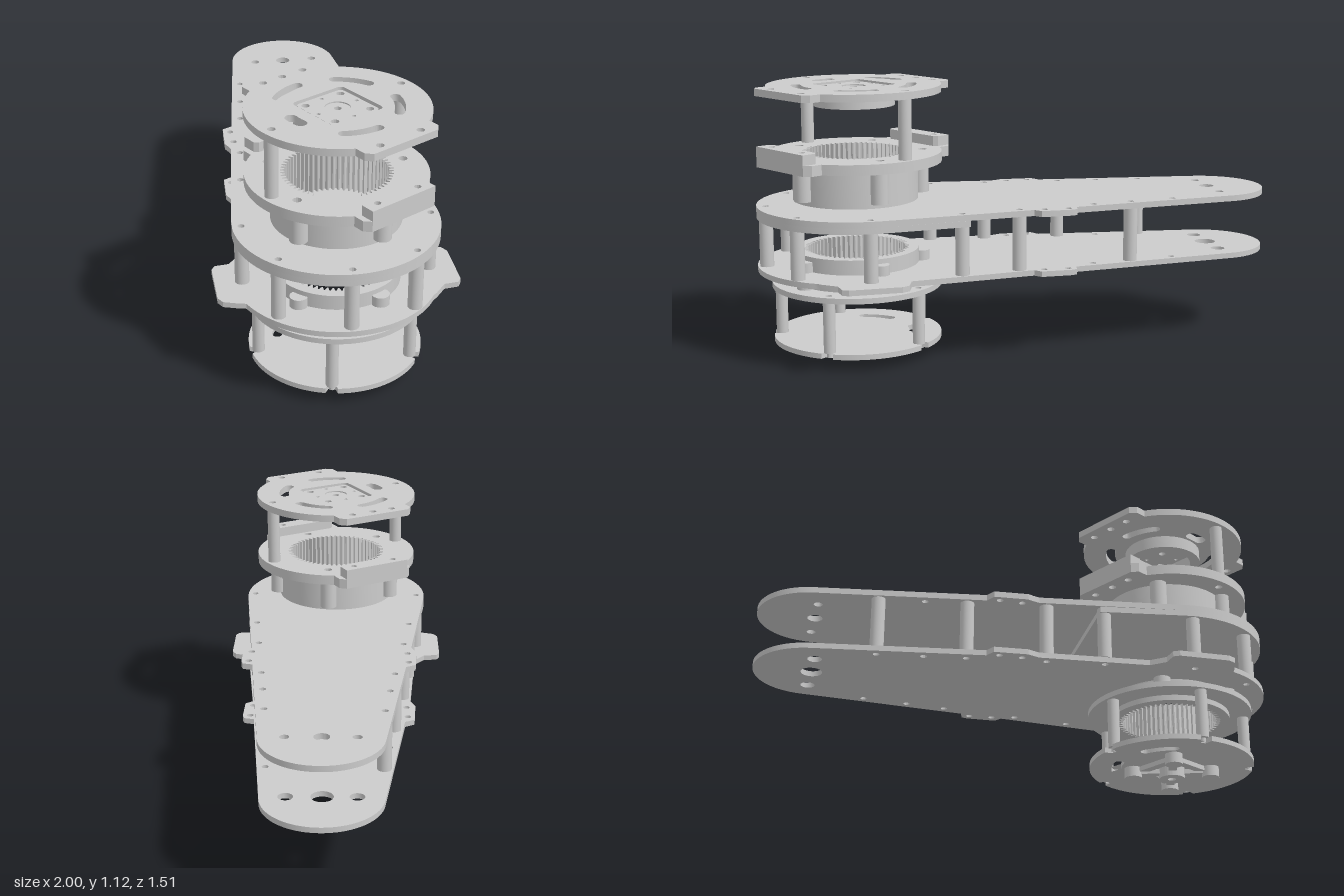
import * as THREE from 'three';
import { toCreasedNormals } from 'three/addons/utils/BufferGeometryUtils.js';

const CX = 0.583, CZ = 0.278; // joint axis in plan
const material = new THREE.MeshStandardMaterial({ color: 0xcccccc, side: THREE.DoubleSide });
const rad = THREE.MathUtils.degToRad;

// Plan points are [x, z]; angles are in degrees from +x toward +z
function arc(cx, cz, r, a0, a1, n = 48) {
  return Array.from({ length: n + 1 }, (_, i) => {
    const a = rad(a0 + (a1 - a0) * i / n);
    return [cx + r * Math.cos(a), cz + r * Math.sin(a)];
  });
}
const polar = (r, a) => [r * Math.cos(rad(a)), r * Math.sin(rad(a))];
const around = (n, r, a0) => Array.from({ length: n }, (_, i) => polar(r, a0 + i * 360 / n));
const path = pts => new THREE.Path(pts.map(p => new THREE.Vector2(...p)));
const hole = (x, z, r, n = 20) => path(arc(x, z, r, 0, 360, n).slice(0, -1));

// Curved slot with round ends
function slot(r, a, half, w) {
  const e0 = polar(r, a - half), e1 = polar(r, a + half);
  return path([
    ...arc(0, 0, r + w, a - half, a + half, 10), ...arc(...e1, w, a + half, a + half + 180, 8).slice(1),
    ...arc(0, 0, r - w, a + half, a - half, 10).slice(1), ...arc(...e0, w, a - half + 180, a - half + 360, 8).slice(1, -1)
  ]);
}

// Rounded square outline
function square(h, r) {
  return [[1, 1, 0], [-1, 1, 90], [-1, -1, 180], [1, -1, 270]]
    .flatMap(([x, z, a]) => arc(x * (h - r), z * (h - r), r, a, a + 90, 6));
}

// Inner gear teeth outline
function teeth(n = 60) {
  return path(Array.from({ length: n * 4 }, (_, i) => polar(i % 4 < 2 ? 0.202 : 0.22, i * 90 / n)));
}

// Flat plate from a plan outline
function plate(parent, name, pts, holes, y0, y1) {
  const shape = new THREE.Shape(pts.map(p => new THREE.Vector2(...p)));
  shape.holes.push(...holes);
  const g = new THREE.ExtrudeGeometry(shape, { depth: y1 - y0, bevelEnabled: false });
  g.rotateX(Math.PI / 2).translate(0, y1, 0);
  return add(parent, name, toCreasedNormals(g, 0.4));
}

function add(parent, name, geometry) {
  const mesh = new THREE.Mesh(geometry, material);
  mesh.name = name;
  parent.add(mesh);
  return mesh;
}

function post(parent, name, [x, z], r, y0, y1) {
  add(parent, name, new THREE.CylinderGeometry(r, r, y1 - y0, 24)).position.set(x, (y0 + y1) / 2, z);
}

const circle = r => arc(0, 0, r, 0, 360, 96).slice(0, -1);

// Disc with a flat lug on both sides
function lugged(r) {
  const half = [...arc(0, 0, r, 30, 150), [-0.36, 0.18], [-0.385, 0.155], [-0.385, -0.155], [-0.36, -0.18]];
  return [...half, ...half.map(([x, z]) => [-x, -z])];
}

// Arm outline: two tangent circles, side tabs and optional ears
function armOutline(ears) {
  const ear = [[0.65, -0.15], [0.70, -0.195], [0.735, -0.195], [0.92, -0.09], [0.935, -0.065], [0.912, -0.01], [0.94, 0.06]];
  const end = ears
    ? [...ear, ...arc(CX, CZ, 0.412, -29, 97), ...ear.map(([x, z]) => [2 * CX - x, 2 * CZ - z])]
    : arc(CX, CZ, 0.412, -65.5, 126.9);
  return [
    ...arc(-0.758, -0.517, 0.243, 126.9, 294.5),
    [0, -0.44], [0.03, -0.47], [0.055, -0.465], [0.165, -0.4], [0.17, -0.362],
    ...end,
    [-0.16, 0.24], [-0.185, 0.235], [-0.215, 0.232], [-0.335, 0.155], [-0.335, 0.108]
  ];
}

function buildArm() {
  const arm = new THREE.Group();
  arm.name = 'arm';
  const posts = [[-0.67, -0.19], [-0.375, 0.03], [-0.25, -0.515], [-0.11, 0.23], [0.085, 0.375], [0.205, -0.31],
    [0.43, -0.21], [0.39, 0.6], [0.675, 0.64], [0.775, -0.05], [0.905, 0.47], [0.955, 0.19]];
  const screws = [[-0.425, -0.595], [-0.095, -0.445], [0.045, -0.435], [0.13, -0.38],
    [-0.515, -0.075], [-0.295, 0.145], [-0.21, 0.19]];
  const holes = (big, small) => [
    ...[...posts, ...screws].map(p => hole(...p, 0.014, 12)),
    hole(-0.69, -0.64, small), hole(-0.758, -0.517, big), hole(-0.825, -0.4, small)];

  plate(arm, 'upperArmPlate', armOutline(false), holes(0.032, 0.019), 0.605, 0.63);
  plate(arm, 'lowerArmPlate', armOutline(true), [...holes(0.045, 0.03), hole(CX, CZ, 0.25, 64)], 0.355, 0.378);
  // Thick joint end under the upper plate, cut square to the arm
  plate(arm, 'jointReinforcement', [[0.42, -0.25], ...arc(CX, CZ, 0.412, -65.5, 126.9), [0.05, 0.39]],
    [], 0.58, 0.605);
  posts.forEach(p => post(arm, 'armStandoff', p, 0.029, 0.378, 0.605));
  return arm;
}

// Ring gear housing with five screw lobes
function ringGear(parent, y0, y1, lobe0, lobe1) {
  plate(parent, 'ringGearHousing', circle(0.26), [teeth()], y0, y1);
  around(5, 0.27, 0).forEach(p => post(parent, 'housingLobe', p, 0.036, lobe0, lobe1));
}

function buildUpperDrive() {
  const g = new THREE.Group();
  g.name = 'upperDrive';
  g.position.set(CX, 0, CZ);
  const screws = [[0, -0.323], [0, 0.318], ...[-0.103, 0, 0.095].map(z => [-0.338, z]), [0.347, -0.103], [0.347, 0.095]];
  const screwHoles = () => screws.map(p => hole(...p, 0.016, 14));

  ringGear(g, 0.65, 0.81, 0.67, 0.81);
  plate(g, 'housingFlange', lugged(0.36), [teeth(), ...screwHoles(),
    ...around(5, 0.28, 0).map(p => hole(...p, 0.018, 14))], 0.805, 0.848);
  // Raised blocks on the lugs
  for (const s of [-1, 1]) {
    plate(g, 'lugBlock', [[0.31 * s, -0.14], [0.325 * s, -0.155], [0.385 * s, -0.155], [0.385 * s, 0.155], [0.325 * s, 0.155], [0.31 * s, 0.14]],
      [-0.1, 0.1].map(z => hole(0.347 * s, z, 0.014, 12)), 0.848, 0.89);
    post(g, 'upperStandoff', [0, 0.32 * s], 0.027, 0.848, 1.095);
  }

  // Cover plate with slots and a square motor seat
  plate(g, 'coverPlate', lugged(0.36), [...screwHoles(), path(square(0.125, 0.02)),
    ...[-54, 18, 162, 234].map(a => slot(0.237, a, 17, 0.021)), slot(0.205, 90, 8, 0.025)], 1.095, 1.125);
  plate(g, 'motorSeat', square(0.115, 0.02), [hole(0, 0, 0.05, 32),
    ...around(4, 0.122, 45).map(p => hole(...p, 0.016, 14)), ...around(4, 0.095, 0).map(p => hole(...p, 0.008, 10))], 1.1, 1.118);
  plate(g, 'seatHub', circle(0.07), [hole(0, 0, 0.015)], 1.095, 1.113);
  plate(g, 'motorRing', circle(0.168), [hole(0, 0, 0.125, 64)], 1.04, 1.097);
  return g;
}

function buildLowerDrive() {
  const g = new THREE.Group();
  g.name = 'lowerDrive';
  g.position.set(CX, 0, CZ);
  ringGear(g, 0.26, 0.44, 0.305, 0.42);
  const posts = around(5, 0.32, 42);
  plate(g, 'lowerFlange', circle(0.355), [teeth(), ...posts.map(p => hole(...p, 0.014, 12))], 0.283, 0.306);
  posts.forEach(p => post(g, 'lowerStandoff', p, 0.025, 0.07, 0.285));

  // Base disc with rim notches and slots
  const rim = Array.from({ length: 180 }, (_, i) => polar(Math.abs((i * 2 + 66) % 72 - 36) < 4 ? 0.318 : 0.352, i * 2));
  plate(g, 'baseDisc', rim, [hole(0, 0, 0.06, 32), ...[6, 78, 150, 222, 294].map(a => slot(0.237, a, 15, 0.021)),
    ...posts.map(p => hole(...p, 0.012, 12))], 0.05, 0.072);

  // Motor bracket below the base
  plate(g, 'bracketFrame', square(0.115, 0.02), [path(square(0.08, 0.015))], 0.03, 0.05);
  around(4, 0.165, 45).forEach(p => post(g, 'bracketFoot', p, 0.037, 0.005, 0.05));
  for (const a of [45, 135]) {
    const bar = add(g, 'bracketBar', new THREE.BoxGeometry(0.3, 0.02, 0.035));
    bar.position.y = 0.03;
    bar.rotation.y = rad(a);
  }
  plate(g, 'bracketHub', circle(0.055), [hole(0, 0, 0.018)], 0, 0.05);
  return g;
}

export function createModel() {
  const model = new THREE.Group();
  model.name = 'jointedArm';
  model.add(buildArm(), buildUpperDrive(), buildLowerDrive());
  return model;
}
